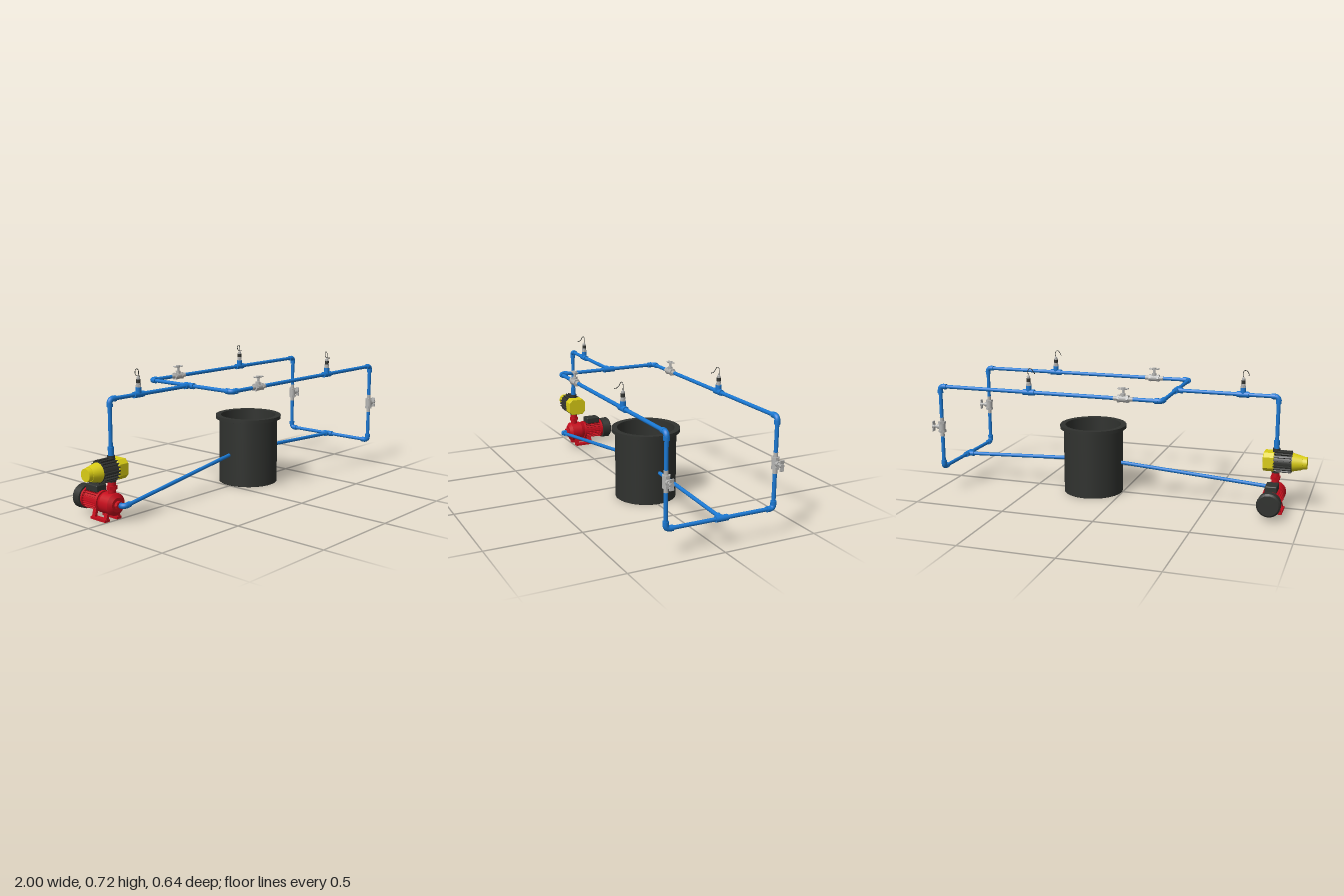
import * as THREE from 'three';
import { RoundedBoxGeometry } from 'three/addons/geometries/RoundedBoxGeometry.js';

const mat = (color, side = THREE.FrontSide) => new THREE.MeshStandardMaterial({ color, side });
const BLUE = mat(0x1a78d2), RED = mat(0xc40d1c), YELLOW = mat(0xd9cc14);
const DARK = mat(0x30322f), STEEL = mat(0xb4b4b2), TANK = mat(0x30322f, THREE.DoubleSide);
const V = (x, y, z) => new THREE.Vector3(x, y, z);
const UP = V(0, 1, 0);

function add(parent, name, geometry, material, x = 0, y = 0, z = 0) {
  const m = new THREE.Mesh(geometry, material);
  m.name = name;
  m.position.set(x, y, z);
  parent.add(m);
  return m;
}

function group(parent, name, x = 0, y = 0, z = 0) {
  const g = new THREE.Group();
  g.name = name;
  g.position.set(x, y, z);
  parent.add(g);
  return g;
}

// Cylinder or cone running from a to b
function rod(parent, name, a, b, r, material, segs = 20, r2 = r) {
  const d = b.clone().sub(a);
  const geo = new THREE.CylinderGeometry(r2, r, d.length(), segs);
  if (segs <= 8) material = Object.assign(material.clone(), { flatShading: true });
  const m = add(parent, name, geo, material);
  m.position.copy(a).addScaledVector(d, 0.5);
  m.quaternion.setFromUnitVectors(UP, d.normalize());
  return m;
}

const PIPE = 0.01, FIT = 0.0148;

// Bent fitting at corner p, its arms along d1 and d2
function elbow(parent, p, d1, d2) {
  const g = group(parent, 'elbow', p.x, p.y, p.z);
  const at = (d, t) => d.clone().multiplyScalar(t);
  const curve = new THREE.QuadraticBezierCurve3(at(d1, 0.022), V(0, 0, 0), at(d2, 0.022));
  add(g, 'elbowBend', new THREE.TubeGeometry(curve, 10, 0.014, 16), BLUE);
  for (const d of [d1, d2]) rod(g, 'elbowSocket', at(d, 0.018), at(d, 0.037), FIT, BLUE);
}

// Straight fitting along "run" with one arm along "branch"
function tee(parent, p, run, branch) {
  const g = group(parent, 'tee', p.x, p.y, p.z);
  rod(g, 'teeRun', run.clone().multiplyScalar(-0.032), run.clone().multiplyScalar(0.032), FIT + 0.001, BLUE);
  rod(g, 'teeBranch', V(0, 0, 0), branch.clone().multiplyScalar(0.036), FIT, BLUE);
}

// Pressure sensor on a tee, with a cable curling over and forwards
function sensor(parent, x, y, z) {
  const g = group(parent, 'sensor', x, y, z);
  tee(g, V(0, 0, 0), V(1, 0, 0), UP);
  rod(g, 'sensorNut', V(0, 0.036, 0), V(0, 0.046, 0), 0.014, STEEL, 6);
  rod(g, 'sensorCollar', V(0, 0.046, 0), V(0, 0.056, 0), 0.012, STEEL);
  rod(g, 'sensorBody', V(0, 0.056, 0), V(0, 0.074, 0), 0.011, DARK);
  rod(g, 'sensorCap', V(0, 0.074, 0), V(0, 0.084, 0), 0.009, STEEL);
  rod(g, 'sensorTip', V(0, 0.084, 0), V(0, 0.091, 0), 0.006, STEEL, 20, 0.004);
  const cable = new THREE.CatmullRomCurve3([V(0, 0.088, 0), V(0.003, 0.112, 0), V(-0.006, 0.126, 0),
    V(-0.019, 0.122, 0.002), V(-0.027, 0.104, 0.009), V(-0.026, 0.097, 0.018), V(-0.02, 0.096, 0.036)]);
  add(g, 'sensorCable', new THREE.TubeGeometry(cable, 28, 0.0018, 6), DARK);
}

// Ball valve modelled along x with its handle upwards
function valve(parent, x, y, z, vertical) {
  const g = group(parent, 'valve', x, y, z);
  if (vertical) g.rotation.z = -Math.PI / 2;
  rod(g, 'valveTube', V(-0.052, 0, 0), V(0.052, 0, 0), 0.0112, STEEL);
  rod(g, 'valveBody', V(-0.02, 0, 0), V(0.02, 0, 0), 0.018, STEEL);
  for (const s of [-1, 1]) {
    rod(g, 'valveNut', V(s * 0.018, 0, 0), V(s * 0.03, 0, 0), 0.021, STEEL, 6);
    const wing = add(g, 'handleWing', new RoundedBoxGeometry(0.02, 0.006, 0.024, 2, 0.002), STEEL, s * 0.018, 0.052, 0);
    wing.rotation.z = s * 0.12;
  }
  rod(g, 'valveBonnet', V(0, 0, 0), V(0, 0.028, 0), 0.013, STEEL);
  rod(g, 'valveStem', V(0, 0.028, 0), V(0, 0.05, 0), 0.007, STEEL);
  rod(g, 'handleHub', V(0, 0.046, 0), V(0, 0.058, 0), 0.011, STEEL);
}

export function createModel() {
  const root = new THREE.Group();
  root.name = 'pumpedPipeLoop';
  const TOP = 0.597, LOW = 0.145, MID = -0.01, X0 = -0.84, XT = -0.30, X1 = 0.94;
  const px = V(1, 0, 0), nx = V(-1, 0, 0), pz = V(0, 0, 1), nz = V(0, 0, -1), down = V(0, -1, 0);
  const pipes = group(root, 'pipework');
  const pipe = (a, b) => rod(pipes, 'pipe', a, b, PIPE, BLUE, 18);

  // Riser and supply line
  pipe(V(X0, 0.31, MID), V(X0, TOP - 0.018, MID));
  elbow(pipes, V(X0, TOP, MID), down, px);
  pipe(V(X0 + 0.018, TOP, MID), V(XT, TOP, MID));
  tee(pipes, V(XT, TOP, MID), pz, nx);
  sensor(pipes, -0.655, TOP, MID);

  // Two parallel branches: across, along, down and back to the middle
  for (const [z, inward, outward, sx] of [[0.282, nz, pz, 0.5], [-0.297, pz, nz, 0.42]]) {
    const end = z - outward.z * 0.018;
    pipe(V(XT, TOP, MID), V(XT, TOP, end));
    elbow(pipes, V(XT, TOP, z), inward, px);
    pipe(V(XT + 0.018, TOP, z), V(X1 - 0.018, TOP, z));
    elbow(pipes, V(X1, TOP, z), nx, down);
    pipe(V(X1, TOP - 0.018, z), V(X1, LOW + 0.018, z));
    elbow(pipes, V(X1, LOW, z), UP, inward);
    pipe(V(X1, LOW, end), V(X1, LOW, MID));
    valve(pipes, -0.097, TOP, z, false);
    valve(pipes, X1, 0.372, z, true);
    sensor(pipes, sx, TOP, z);
  }

  // Return into the tank and suction out of it
  const back = V(0.32, 0.172, MID).sub(V(X1, LOW, MID)).normalize();
  tee(pipes, V(X1, LOW, MID), pz, back);
  pipe(V(X1, LOW, MID), V(0.315, 0.172, MID));
  const suction = V(-0.835, 0.085, 0.072), outlet = V(0.015, 0.173, MID);
  elbow(pipes, suction, nz, outlet.clone().sub(suction).normalize());
  pipe(suction.clone().lerp(outlet, 0.022), outlet);

  // Open tank with a rolled-out rim and a recessed floor
  const profile = [[0, 0.02], [0.152, 0.02], [0.152, 0], [0.1625, 0], [0.1625, 0.36], [0.182, 0.36],
    [0.182, 0.379], [0.153, 0.379], [0.153, 0.03], [0, 0.03]];
  const pts = [];
  profile.forEach(([r, y], i) => {
    // doubled corner points keep the edges crisp
    const p = new THREE.Vector2(r, y);
    for (const j of [i - 1, i + 1]) if (profile[j]) pts.push(p.clone().lerp(new THREE.Vector2(...profile[j]), 0.004));
  });
  add(root, 'tank', new THREE.LatheGeometry(pts, 56), TANK, 0.167, 0, MID);

  // Pump: volute, finned motor, fan cover, feet
  const pump = group(root, 'pump', X0, 0.085, 0);
  rod(pump, 'voluteRear', V(0, 0, -0.065), V(0, 0, -0.045), 0.048, RED, 28, 0.056);
  rod(pump, 'volute', V(0, 0, -0.045), V(0, 0, 0.015), 0.056, RED, 28);
  rod(pump, 'voluteFront', V(0, 0, 0.015), V(0, 0, 0.03), 0.056, RED, 28, 0.036);
  rod(pump, 'suctionNeck', V(0, 0, 0.028), V(0, 0, 0.046), 0.022, RED, 8);
  rod(pump, 'motor', V(0, 0, -0.2), V(0, 0, -0.06), 0.044, RED, 28);
  for (let i = 0; i < 24; i++) {
    const a = i * Math.PI / 12;
    const fin = add(pump, 'motorFin', new THREE.BoxGeometry(0.012, 0.004, 0.1), RED, Math.cos(a) * 0.046, Math.sin(a) * 0.046, -0.128);
    fin.rotation.z = a;
  }
  for (const z of [-0.182, -0.072]) rod(pump, 'motorFlange', V(0, 0, z - 0.006), V(0, 0, z + 0.006), 0.055, RED, 28);
  rod(pump, 'fanCover', V(0, 0, -0.236), V(0, 0, -0.193), 0.062, DARK, 28, 0.06);
  rod(pump, 'fanCoverEnd', V(0, 0, -0.245), V(0, 0, -0.236), 0.053, DARK, 28, 0.062);
  add(pump, 'terminalBox', new RoundedBoxGeometry(0.062, 0.036, 0.085, 2, 0.006), DARK, 0, 0.062, -0.13);
  for (const s of [-1, 1]) {
    add(pump, 'footPad', new THREE.BoxGeometry(0.03, 0.012, 0.11), RED, s * 0.038, -0.079, -0.06);
    for (const z of [-0.1, -0.015]) {
      const leg = add(pump, 'footLeg', new THREE.BoxGeometry(0.014, 0.06, 0.022), RED, s * 0.033, -0.052, z);
      leg.rotation.z = s * 0.25;
    }
  }
  rod(pump, 'outletNeck', V(0, 0.04, MID), V(0, 0.13, MID), 0.02, RED);
  rod(pump, 'outletNut', V(0, 0.072, MID), V(0, 0.09, MID), 0.027, RED, 6);

  // Pressure controller: tapered nose, ribbed band, chamfered box
  const ctl = group(root, 'pressureController', X0, 0.257, MID);
  rod(ctl, 'noseTip', V(-0.16, 0, 0), V(-0.138, 0, 0), 0.032, YELLOW, 28, 0.034);
  rod(ctl, 'nose', V(-0.138, 0, 0), V(-0.08, 0, 0), 0.036, YELLOW, 28, 0.05);
  rod(ctl, 'band', V(-0.085, 0, 0), V(0.012, 0, 0), 0.05, DARK, 28);
  for (let i = 0; i < 20; i++) {
    const a = i * Math.PI / 10;
    const rib = add(ctl, 'bandRib', new THREE.BoxGeometry(0.09, 0.014, 0.007), DARK, -0.036, Math.cos(a) * 0.052, Math.sin(a) * 0.052);
    rib.rotation.x = a;
  }
  const w = 0.05, h = 0.045, c = 0.018;
  const face = new THREE.Shape([[-w, c - h], [c - w, -h], [w - c, -h], [w, c - h], [w, h - c], [w - c, h], [c - w, h], [-w, h - c]]
    .map(([x, y]) => new THREE.Vector2(x, y)));
  const box = add(ctl, 'controlBox', new THREE.ExtrudeGeometry(face, { depth: 0.048, bevelThickness: 0.005, bevelSize: 0.004, bevelSegments: 2 }), YELLOW, 0.01, 0, 0);
  box.rotation.y = Math.PI / 2;
  rod(ctl, 'inletPort', V(0, -0.062, 0), V(0, -0.03, 0), 0.022, DARK);
  rod(ctl, 'outletPort', V(0, 0.03, 0), V(0, 0.068, 0), 0.019, DARK);
  rod(ctl, 'outletSocket', V(0, 0.062, 0), V(0, 0.11, 0), FIT, BLUE);
  return root;
}
